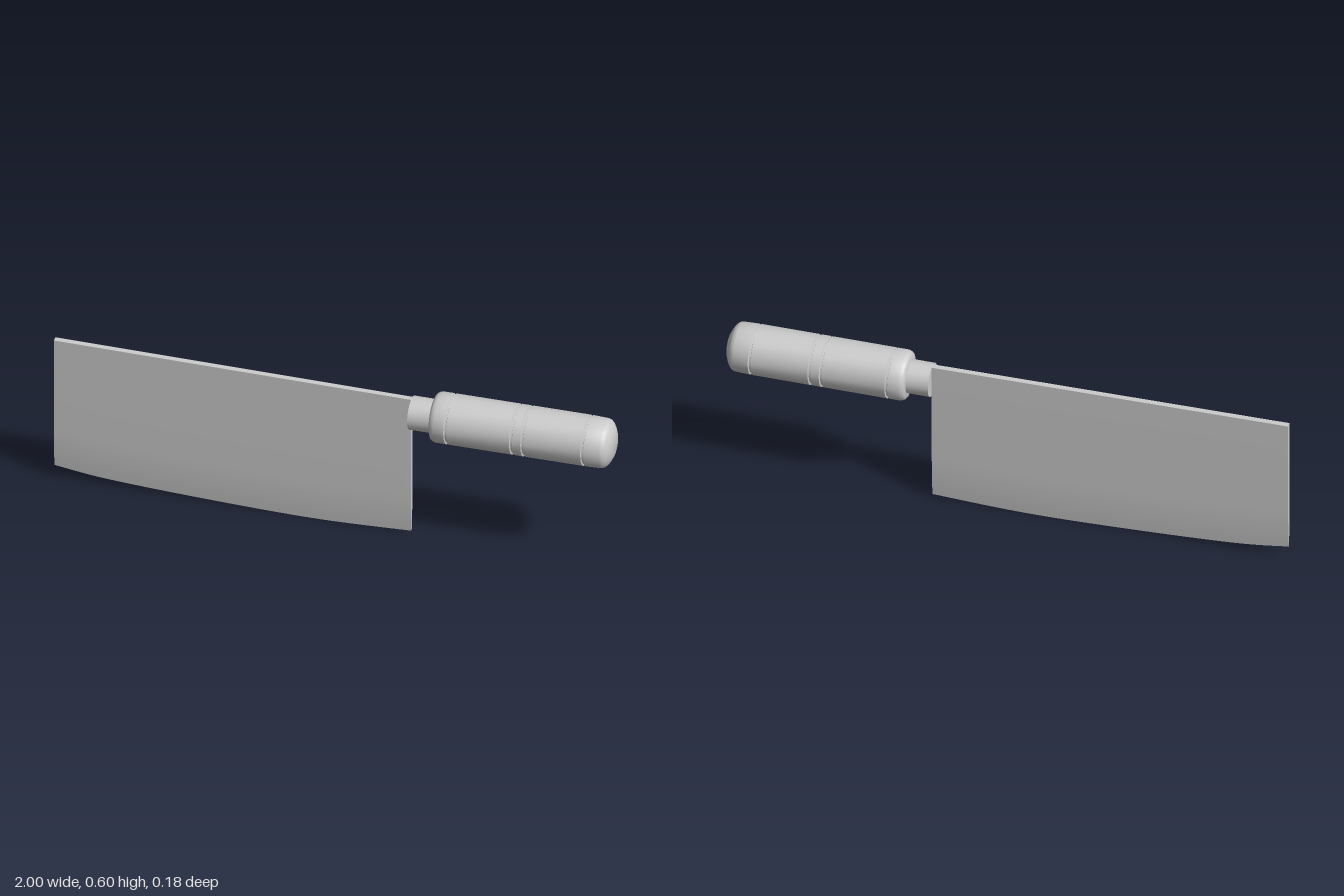
import * as THREE from 'three';
import { toCreasedNormals } from 'three/addons/utils/BufferGeometryUtils.js';

const material = new THREE.MeshStandardMaterial({ color: 0xcccccc });
const AXIS_Y = 0.51;

function addMesh(group, name, geometry, crease) {
  const mesh = new THREE.Mesh(toCreasedNormals(geometry, crease), material);
  mesh.name = name;
  group.add(mesh);
  return mesh;
}

// Turned part lying along x; profile points are [x, radius]
function turned(profile) {
  const points = profile.map(([x, r]) => new THREE.Vector2(r, x));
  return new THREE.LatheGeometry(points, 24).rotateZ(-Math.PI / 2).translate(0, AXIS_Y, 0);
}

// Blade: cross-sections lofted along x, tapering to a curved cutting edge
function bladeGeometry() {
  const x0 = -1, x1 = 0.275, steps = 24;
  const edge = new THREE.SplineCurve([
    [-1, 0.052], [-0.8, 0.027], [-0.4, 0.007], [-0.05, 0], [0.275, 0.012],
  ].map(([x, y]) => new THREE.Vector2(x, y)));
  // Height above the edge and half thickness
  const bevel = [[0.03, 0.0033], [0.07, 0.0065], [0.12, 0.009], [0.17, 0.01]];
  const positions = [], index = [];
  const n = bevel.length * 2 + 3;
  for (let i = 0; i <= steps; i++) {
    const p = edge.getPoint(i / steps);
    const top = THREE.MathUtils.mapLinear(p.x, x0, x1, 0.583, 0.57);
    const side = [...bevel.map(([h, z]) => [p.y + h, z]), [top, 0.01]];
    const ring = [[p.y, 0], ...side, ...side.map(([y, z]) => [y, -z]).reverse()];
    ring.forEach(([y, z]) => positions.push(p.x, y, z));
  }
  for (let i = 0; i < steps; i++) {
    for (let j = 0; j < n; j++) {
      const a = i * n + j, b = i * n + (j + 1) % n;
      index.push(a, a + n, b, b, a + n, b + n);
    }
  }
  // Flat tip and heel
  const last = steps * n;
  for (let j = 1; j < n - 1; j++) {
    index.push(0, j, j + 1, last, last + j + 1, last + j);
  }
  const geometry = new THREE.BufferGeometry();
  geometry.setAttribute('position', new THREE.Float32BufferAttribute(positions, 3));
  geometry.setIndex(index);
  return geometry;
}

export function createModel() {
  const group = new THREE.Group();
  group.name = 'cleaver';

  addMesh(group, 'blade', bladeGeometry(), 0.5);

  addMesh(group, 'collar', turned([
    [0.275, 0], [0.275, 0.06], [0.36, 0.06], [0.36, 0],
  ]), 0.5);

  // Handle with rounded ends and narrow decorative grooves
  const R = 0.09;
  const grooves = [0.417, 0.652, 0.692, 0.906].flatMap((x) => [
    [x - 0.005, R], [x - 0.003, R - 0.007], [x + 0.003, R - 0.007], [x + 0.005, R],
  ]);
  addMesh(group, 'handle', turned([
    [0.355, 0], [0.355, 0.074], [0.358, 0.081], [0.364, 0.086], [0.375, R],
    ...grooves,
    [0.965, 0.088], [0.976, 0.084], [0.984, 0.076], [0.992, 0.063], [1, 0.045], [1, 0],
  ]), 0.5);

  return group;
}
